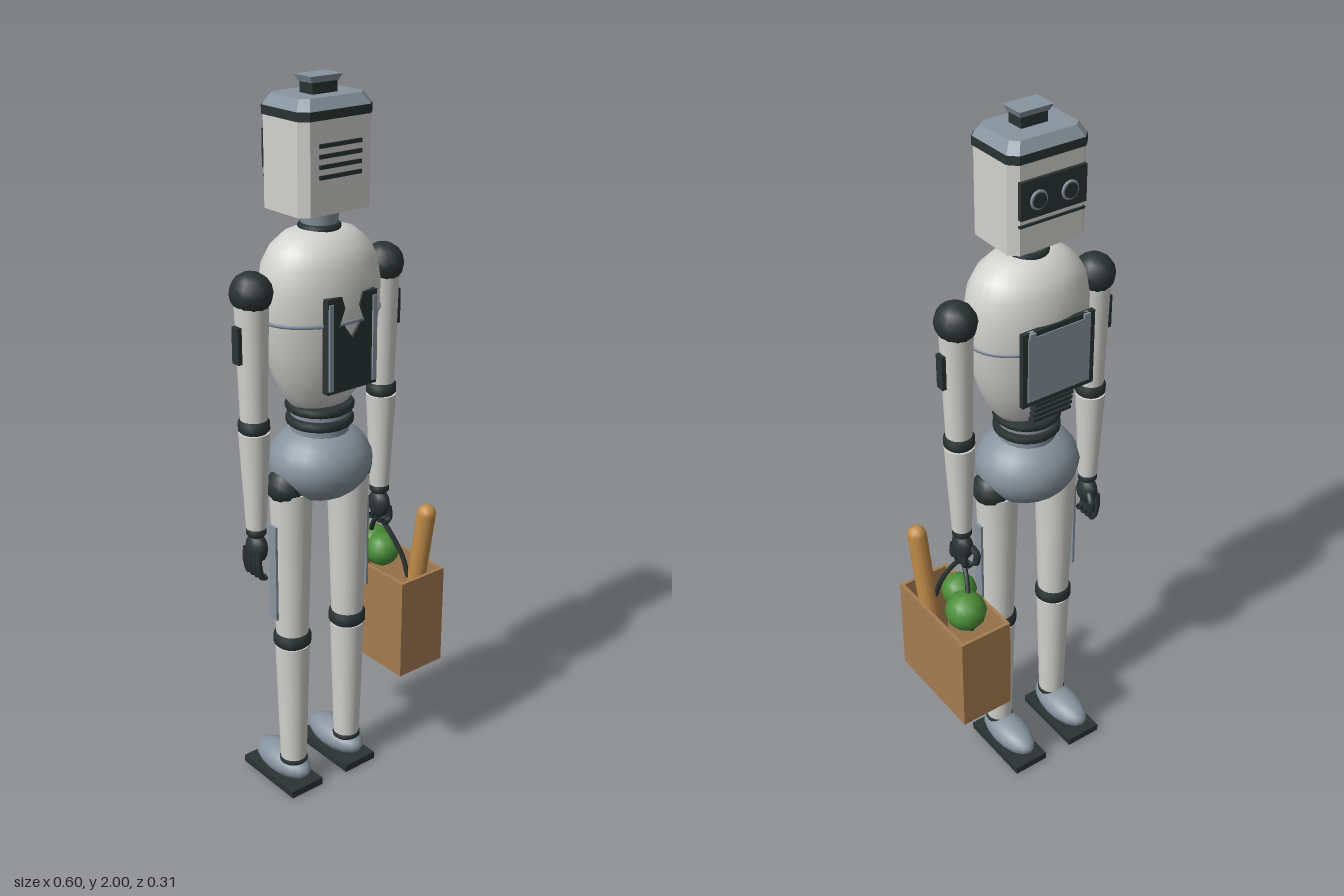
import * as THREE from 'three';

const mat = (name, color) => new THREE.MeshStandardMaterial({ name, color });

export function createModel() {
  const white = mat('shell white', 0xd2d2ce), gray = mat('metal gray', 0x87949f);
  const dark = mat('joint dark', 0x2a3333), brown = mat('bag brown', 0xa57c52);
  const green = mat('leaf green', 0x4b8d37), crust = mat('bread crust', 0xc08c48);
  brown.side = THREE.DoubleSide;
  dark.side = THREE.DoubleSide;

  const root = new THREE.Group();
  root.name = 'robot';
  const CX = -0.032, CZ = 0.008; // body axis

  const add = (name, geo, m, x = 0, y = 0, z = 0, parent = root) => {
    const mesh = new THREE.Mesh(geo, m);
    mesh.name = name;
    mesh.position.set(x, y, z);
    parent.add(mesh);
    return mesh;
  };
  const box = (name, m, w, h, d, x, y, z, p) => add(name, new THREE.BoxGeometry(w, h, d), m, x, y, z, p);
  const ball = (name, m, rx, ry, rz, x, y, z, p, seg = 16) =>
    add(name, new THREE.SphereGeometry(1, seg, Math.round(seg * 0.7)).scale(rx, ry, rz), m, x, y, z, p);
  const tube = (name, m, rTop, rBot, y0, y1, x, z, p) =>
    add(name, new THREE.CylinderGeometry(rTop, rBot, y1 - y0, 20), m, x, (y0 + y1) / 2, z, p);
  const rod = (name, m, r, pts, p) => add(name, new THREE.TubeGeometry(
    new THREE.CatmullRomCurve3(pts.map(a => new THREE.Vector3(...a))), 12, r, 8), m, 0, 0, 0, p);
  // joint band with rounded edges
  const band = (name, m, r, y0, y1, x, z, p) => {
    const b = (y1 - y0) * 0.25;
    const pts = [[0, y0], [r - b, y0], [r, y0 + b], [r, y1 - b], [r - b, y1], [0, y1]];
    return add(name, new THREE.LatheGeometry(pts.map(a => new THREE.Vector2(...a)), 20), m, x, 0, z, p);
  };
  // chamfered rectangular prism standing on y0, optionally drawn in at its top
  const prism = (name, m, hw, hd, c, y0, y1, inset, p) => {
    const s = new THREE.Shape([[-hw + c, -hd], [hw - c, -hd], [hw, -hd + c], [hw, hd - c],
      [hw - c, hd], [-hw + c, hd], [-hw, hd - c], [-hw, -hd + c]].map(a => new THREE.Vector2(...a)));
    const g = new THREE.ExtrudeGeometry(s, { depth: y1 - y0, bevelEnabled: false }).rotateX(-Math.PI / 2);
    const q = g.attributes.position;
    for (let i = 0; i < q.count; i++) if (q.getY(i) > 1e-4) {
      q.setX(i, q.getX(i) * (1 - inset / hw));
      q.setZ(i, q.getZ(i) * (1 - inset / hd));
    }
    g.computeVertexNormals();
    return add(name, g, m, CX, y0, 0, p);
  };

  // Head
  const head = new THREE.Group();
  head.name = 'head';
  root.add(head);
  prism('headShell', white, 0.113, 0.088, 0.022, 1.68, 1.91, 0, head);
  prism('headBand', dark, 0.116, 0.091, 0.022, 1.908, 1.93, 0, head);
  prism('headCap', gray, 0.115, 0.09, 0.022, 1.93, 1.957, 0.017, head);
  box('capStem', dark, 0.076, 0.03, 0.05, CX, 1.971, 0.006, head);
  prism('capTop', gray, 0.042, 0.027, 0.002, 1.984, 2, -0.007, head).position.z = 0.006;
  for (let i = 0; i < 4; i++) box('headVent', dark, 0.13, 0.01, 0.008, CX, 1.773 + i * 0.025, 0.089, head);
  box('visor', dark, 0.19, 0.095, 0.012, CX, 1.82, -0.091, head);
  box('visorLip', dark, 0.19, 0.006, 0.008, CX, 1.755, -0.089, head);
  for (const s of [-1, 1]) {
    add('eyeRing', new THREE.TorusGeometry(0.021, 0.004, 8, 20), gray, CX + s * 0.045, 1.815, -0.098, head);
    add('eyeLens', new THREE.CylinderGeometry(0.019, 0.019, 0.008, 18).rotateX(Math.PI / 2),
      dark, CX + s * 0.045, 1.815, -0.1, head);
  }
  tube('neck', gray, 0.052, 0.045, 1.63, 1.685, CX, CZ);
  band('neckCollar', dark, 0.055, 1.622, 1.643, CX, CZ);

  // Torso
  const profile = [[0, 1.165], [0.08, 1.165], [0.108, 1.2], [0.136, 1.26], [0.157, 1.33], [0.17, 1.42],
    [0.171, 1.49], [0.16, 1.55], [0.137, 1.59], [0.1, 1.62], [0.06, 1.632], [0, 1.634]];
  add('torso', new THREE.LatheGeometry(profile.map(a => new THREE.Vector2(...a)), 32).scale(1, 1, 0.75),
    white, CX, 0, CZ);
  add('chestSeam', new THREE.TorusGeometry(0.169, 0.005, 6, 36).rotateX(Math.PI / 2).scale(1, 1.2, 0.75),
    gray, CX, 1.415, CZ);

  // Notched plate with rails, on the +z side
  const half = [[0.079, 1.238], [0.079, 1.486], [0.034, 1.486], [0.024, 1.455], [0.043, 1.408],
    [0.027, 1.412], [0, 1.375]];
  const outline = [...half, ...half.slice(0, -1).reverse().map(([x, y]) => [-x, y])];
  add('backPlate', new THREE.ExtrudeGeometry(new THREE.Shape(outline.map(a => new THREE.Vector2(...a))),
    { depth: 0.022, bevelEnabled: false }), dark, CX, 0, 0.117);
  for (const s of [-1, 1]) box('plateRail', gray, 0.013, 0.225, 0.012, CX + s * 0.07, 1.36, 0.138);

  // Framed panel and vents, on the -z side
  box('chestFrame', dark, 0.22, 0.21, 0.014, CX, 1.383, -0.119);
  box('chestScreen', gray, 0.19, 0.182, 0.006, CX, 1.383, -0.126);
  for (const s of [-1, 1]) box('panelClip', gray, 0.018, 0.012, 0.016, CX + s * 0.083, 1.482, -0.124);
  for (let i = 0; i < 4; i++) box('chestVent', dark, 0.12, 0.009, 0.02, CX, 1.208 + i * 0.017, -0.093 - i * 0.003);

  // Waist and pelvis
  band('waistUpper', dark, 0.091, 1.148, 1.173, CX, CZ);
  tube('waistCore', gray, 0.078, 0.078, 1.07, 1.16, CX, CZ);
  band('waistLower', dark, 0.09, 1.108, 1.135, CX, CZ);
  ball('pelvis', gray, 0.145, 0.108, 0.135, CX, 1.002, CZ, root, 20);

  // Arms and legs, mirrored about the body axis
  for (const s of [-1, 1]) {
    const arm = new THREE.Group(), leg = new THREE.Group();
    arm.name = s > 0 ? 'leftArm' : 'rightArm';
    leg.name = s > 0 ? 'leftLeg' : 'rightLeg';
    root.add(arm, leg);

    const ax = CX + s * 0.213;
    ball('shoulder', dark, 0.054, 0.054, 0.058, ax, 1.5, CZ, arm, 12);
    tube('upperArm', white, 0.044, 0.035, 1.17, 1.49, ax, CZ, arm);
    box('armPlate', dark, 0.012, 0.095, 0.026, ax + s * 0.046, 1.375, CZ, arm);
    band('elbow', dark, 0.041, 1.13, 1.175, ax, CZ, arm);
    tube('forearm', white, 0.041, 0.027, 0.865, 1.135, ax, CZ, arm);
    band('wrist', dark, 0.027, 0.84, 0.87, ax, CZ, arm);
    ball('palm', dark, 0.027, 0.042, 0.036, ax, 0.805, CZ, arm, 12);
    const drop = s > 0 ? 0.03 : 0; // the carrying hand is closed
    for (let i = 0; i < 4; i++) {
      const z = CZ - 0.03 + i * 0.019;
      rod('finger', dark, 0.009, [[ax + s * 0.012, 0.8, z], [ax + s * 0.014, 0.765, z],
        [ax + s * 0.002, 0.725 + drop, z], [ax - s * 0.008, 0.728 + drop, z]], arm);
    }
    rod('thumb', dark, 0.01, [[ax - s * 0.012, 0.81, CZ - 0.025], [ax - s * 0.018, 0.79, CZ - 0.043],
      [ax - s * 0.014, 0.76, CZ - 0.042]], arm);

    const lx = CX + s * 0.098;
    ball('hip', dark, 0.056, 0.052, 0.056, lx + s * 0.014, 0.955, CZ, leg, 12);
    tube('thigh', white, 0.058, 0.045, 0.51, 0.94, lx, CZ, leg);
    box('thighStrip', gray, 0.007, 0.28, 0.03, lx + s * 0.061, 0.71, CZ, leg);
    band('knee', dark, 0.052, 0.465, 0.516, lx, CZ, leg);
    tube('shin', white, 0.048, 0.037, 0.085, 0.47, lx, CZ, leg);
    band('ankle', dark, 0.04, 0.082, 0.102, lx, CZ, leg);
    ball('foot', gray, 0.053, 0.042, 0.11, lx, 0.062, -0.042, leg);
    box('sole', dark, 0.108, 0.022, 0.23, lx, 0.016, -0.043, leg);
    for (const z of [-0.08, 0.0]) box('solePad', gray, 0.04, 0.006, 0.05, lx, 0.003, z, leg);
  }

  // Shopping bag, open at the top
  const bag = new THREE.Group();
  bag.name = 'bag';
  root.add(bag);
  const BX = 0.219, W = 0.157, D = 0.312, T = 0.01;
  const rect = (C, w, d) => new C([[-w, -d], [w, -d], [w, d], [-w, d]].map(a => new THREE.Vector2(a[0] / 2, a[1] / 2)));
  const wall = rect(THREE.Shape, W, D);
  wall.holes.push(rect(THREE.Path, W - 2 * T, D - 2 * T));
  add('bagWalls', new THREE.ExtrudeGeometry(wall, { depth: 0.297, bevelEnabled: false }).rotateX(-Math.PI / 2),
    brown, BX, 0.323, 0, bag);
  box('bagFloor', brown, W - 0.002, 0.01, D - 0.002, BX, 0.329, 0, bag);
  for (const s of [-1, 1]) rod('bagHandle', dark, 0.007,
    [[0.222, 0.59, s * 0.09], [0.217, 0.65, s * 0.07], [0.198, 0.72, s * 0.036], [0.184, 0.765, 0.004]], bag);

  // Groceries
  ball('largeGreens', green, 0.058, 0.055, 0.058, 0.22, 0.64, -0.06, bag, 12);
  ball('smallGreens', green, 0.05, 0.048, 0.048, 0.196, 0.655, 0.008, bag, 12);
  const a = new THREE.Vector3(0.234, 0.36, 0.075), b = new THREE.Vector3(0.25, 0.795, 0.128);
  const dir = b.clone().sub(a), mid = a.clone().add(b).multiplyScalar(0.5);
  add('baguette', new THREE.CapsuleGeometry(0.027, dir.length(), 5, 12), crust, mid.x, mid.y, mid.z, bag)
    .quaternion.setFromUnitVectors(new THREE.Vector3(0, 1, 0), dir.normalize());

  return root;
}
